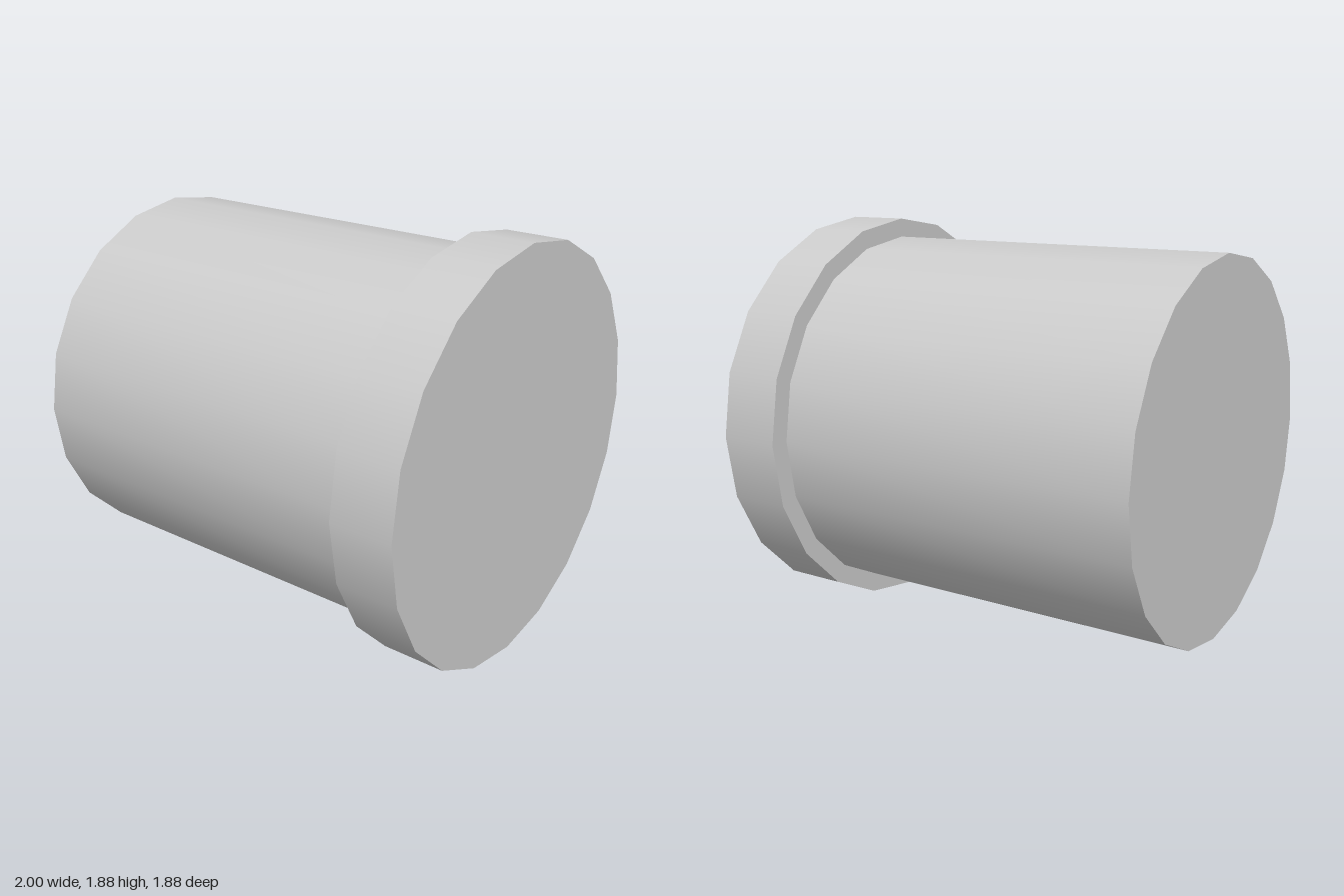
import * as THREE from 'three';

const SIDES = 20;
const AXIS_Y = 0.94;

export function createModel() {
  const group = new THREE.Group();
  const material = new THREE.MeshStandardMaterial({ color: 0xcccccc });

  // Smooth-sided cylinder lying along x, from x0 to x1
  const addCylinder = (name, radius, x0, x1) => {
    const geometry = new THREE.CylinderGeometry(radius, radius, x1 - x0, SIDES);
    geometry.rotateZ(-Math.PI / 2);
    const mesh = new THREE.Mesh(geometry, material);
    mesh.name = name;
    mesh.position.set((x0 + x1) / 2, AXIS_Y, 0);
    group.add(mesh);
  };

  addCylinder('barrel', 0.853, -1, 0.71);
  // Wider rim at the left end
  addCylinder('endFlange', 0.94, 0.71, 1);

  return group;
}
